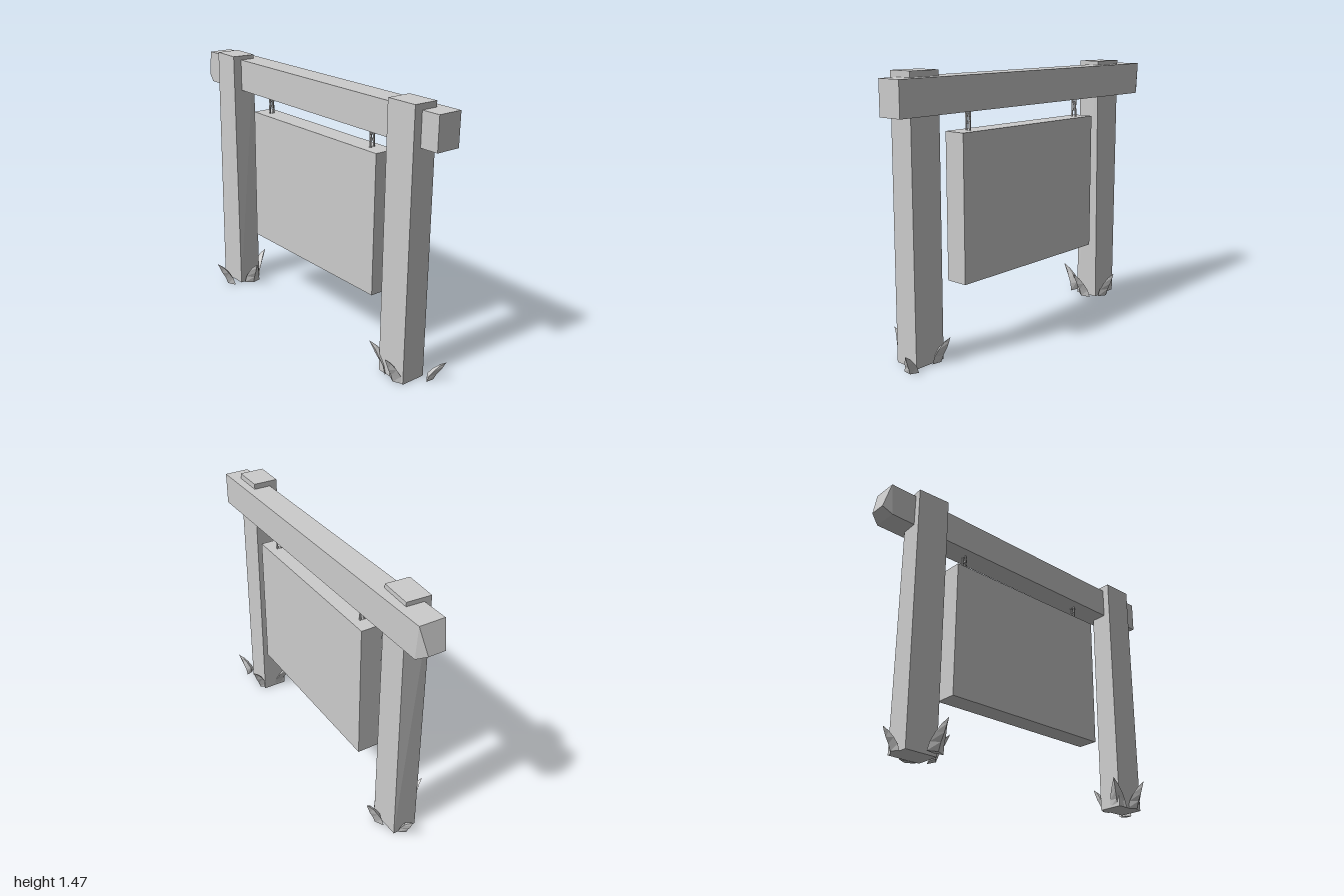
import * as THREE from 'three';

const grey = new THREE.MeshStandardMaterial({ color: 0xcccccc });
grey.name = 'plain grey';

// Facet a geometry so every face keeps its own flat normal
function faceted(geo) {
  const g = geo.index ? geo.toNonIndexed() : geo;
  g.computeVertexNormals();
  return g;
}

function add(parent, name, geo, x = 0, y = 0, z = 0) {
  const mesh = new THREE.Mesh(geo, grey);
  mesh.name = name;
  mesh.position.set(x, y, z);
  parent.add(mesh);
  return mesh;
}

// Move every vertex of a geometry by a rule
function reshape(geo, rule) {
  const p = geo.attributes.position;
  const v = new THREE.Vector3();
  for (let i = 0; i < p.count; i++) {
    rule(v.fromBufferAttribute(p, i));
    p.setXYZ(i, v.x, v.y, v.z);
  }
  return faceted(geo);
}

// Slightly leaning square post, twisted differently at top and bottom
function postGeometry(w, d, h, lean, topTwist, bottomTwist) {
  const up = new THREE.Vector3(0, 1, 0);
  return reshape(new THREE.BoxGeometry(w, h, d), v => {
    const top = v.y > 0;
    v.applyAxisAngle(up, top ? topTwist : bottomTwist);
    if (top) v.x += lean;
    else v.z *= 1.03;
    v.y += h / 2;
  });
}

// Crossbeam with a rough-cut end
function beamGeometry() {
  const s = new THREE.Shape([
    [-0.945, 1.265], [0.988, 1.257], [0.988, 1.438], [-0.96, 1.448], [-1, 1.3],
  ].map(([x, y]) => new THREE.Vector2(x, y)));
  const geo = new THREE.ExtrudeGeometry(s, { depth: 0.142, bevelEnabled: false });
  geo.translate(0, 0, -0.142);
  return reshape(geo, v => {
    if (v.x < -0.99) v.z = v.z < -0.1 ? -0.11 : -0.015;
  });
}

// Rectangular chain link
function linkGeometry(w, h, t) {
  const box = (x, y) => [[-x, -y], [x, -y], [x, y], [-x, y]].map(([a, b]) => new THREE.Vector2(a, b));
  const s = new THREE.Shape(box(w / 2, h / 2));
  s.holes.push(new THREE.Path(box(w / 2 - t, h / 2 - t).reverse()));
  const geo = new THREE.ExtrudeGeometry(s, { depth: t, bevelEnabled: false });
  return geo.translate(0, 0, -t / 2);
}

// Curved blade leaning to +z, diamond sections closing to a tip
function bladeGeometry(h, reach) {
  // share of height, share of reach, half width, half thickness
  const rings = [[0, 0, 0.05, 0.018], [0.28, 0.12, 0.043, 0.023], [0.55, 0.4, 0.033, 0.022], [0.8, 0.7, 0.017, 0.013]]
    .map(([y, o, w, t]) => [[w, -0.008], [0, -t], [-w, -0.008], [0, t]]
      .map(([x, z]) => [x * h / 0.155, y * h, o * reach + z]));
  const tip = [0, h, reach];
  const out = [];
  const tri = (...corners) => out.push(...corners.flat());
  for (let k = 0; k < 4; k++) {
    const n = (k + 1) % 4;
    for (let r = 0; r < 3; r++) {
      const [a, b, c, d] = [rings[r][k], rings[r][n], rings[r + 1][n], rings[r + 1][k]];
      tri(a, b, c);
      tri(a, c, d);
    }
    tri(rings[3][k], rings[3][n], tip);
  }
  const [a, b, c, d] = rings[0];
  tri(a, d, b);
  tri(b, d, c);
  const g = new THREE.BufferGeometry();
  g.setAttribute('position', new THREE.Float32BufferAttribute(out, 3));
  return faceted(g);
}

export function createModel() {
  const model = new THREE.Group();
  model.name = 'hangingSign';

  // Frame
  add(model, 'rightPost', postGeometry(0.186, 0.136, 1.47, 0, -0.06, 0.02), -0.711, 0, -0.024);
  add(model, 'leftPost', postGeometry(0.183, 0.14, 1.47, -0.007, -0.01, -0.01), 0.795, 0, -0.025);
  add(model, 'crossbeam', beamGeometry());

  // Hanging board
  add(model, 'board', new THREE.BoxGeometry(1.07, 0.785, 0.125), 0.038, 0.7625, -0.068);

  // Chains: links alternate a quarter turn
  for (const x of [-0.407, 0.474]) {
    const chain = new THREE.Group();
    chain.name = 'chain';
    chain.position.set(x, 0, -0.068);
    [1.25, 1.217, 1.175].forEach((y, i) => {
      const link = add(chain, 'chainLink', linkGeometry(0.032, 0.055, 0.008), 0, y, 0);
      link.rotation.y = i === 1 ? 0 : Math.PI / 2;
    });
    model.add(chain);
  }

  // Grass blades: base x, base z, tip x, tip z, height
  const blades = [
    [-0.663, 0.1, -0.663, 0.19, 0.155],
    [-0.68, -0.115, -0.68, -0.19, 0.155],
    [-0.815, -0.03, -0.885, -0.03, 0.115],
    [-0.59, -0.025, -0.505, -0.005, 0.155],
    [0.832, 0.05, 0.832, 0.13, 0.155],
    [0.725, 0.015, 0.64, 0.065, 0.155],
    [0.745, -0.1, 0.72, -0.168, 0.14],
    [0.93, -0.105, 1, -0.145, 0.115],
  ];
  for (const [bx, bz, tx, tz, h] of blades) {
    const blade = add(model, 'grassBlade', bladeGeometry(h, Math.hypot(tx - bx, tz - bz)), bx, 0, bz);
    blade.rotation.y = Math.atan2(tx - bx, tz - bz);
  }
  return model;
}
